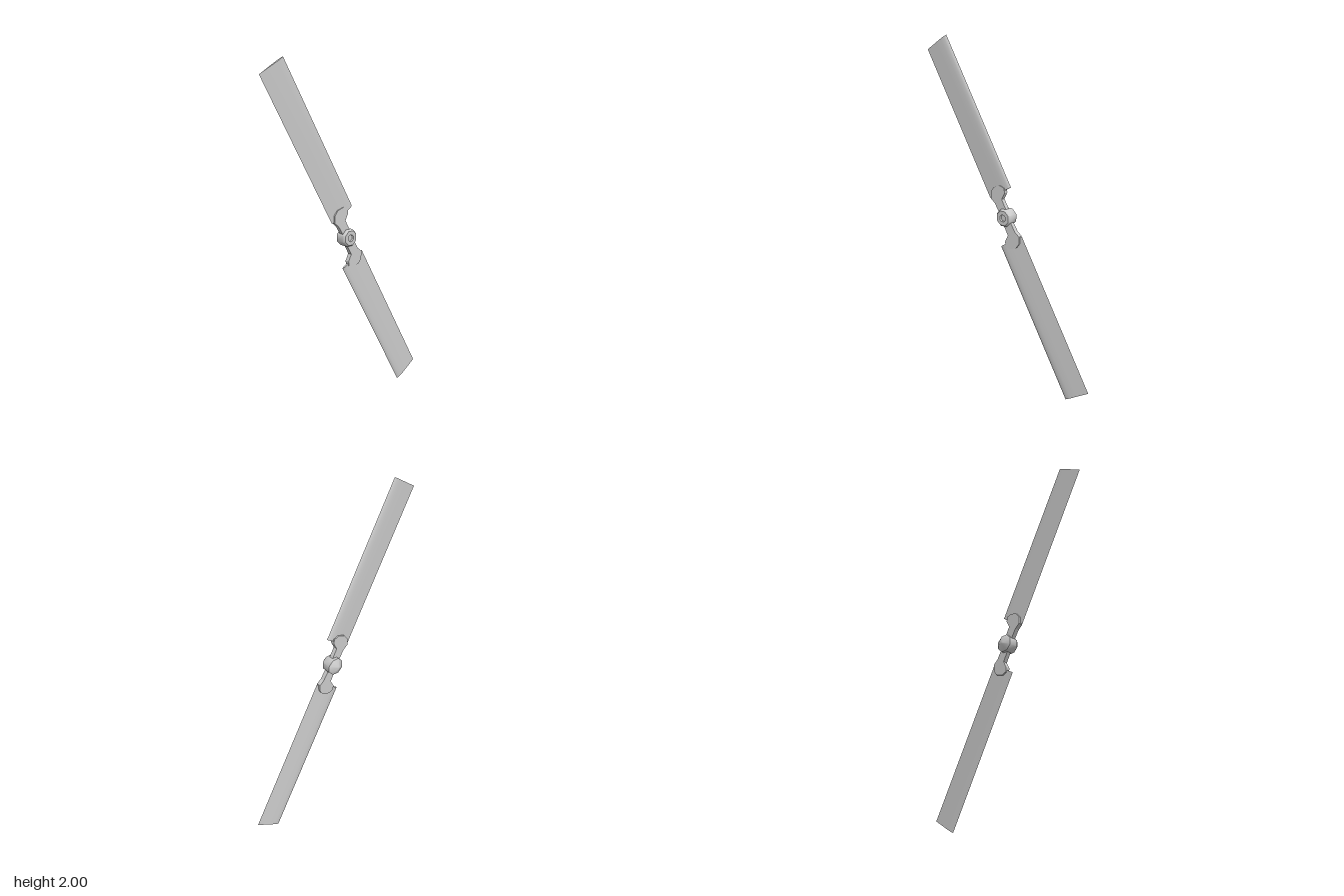
import * as THREE from 'three';
import { toCreasedNormals } from 'three/addons/utils/BufferGeometryUtils.js';

const material = new THREE.MeshStandardMaterial({ color: 0xcccccc });
const shapeFrom = (pts) => new THREE.Shape(pts.map(([x, y]) => new THREE.Vector2(x, y)));

function addMesh(parent, name, geometry) {
  const mesh = new THREE.Mesh(geometry, material);
  mesh.name = name;
  parent.add(mesh);
}

// Constant airfoil section swept along the span, blunt edge towards +x
function bladeGeometry() {
  const section = [
    [-0.052, 0], [0.03, 0.005], [0.075, 0.0075], [0.1, 0.007], [0.114, 0.004], [0.119, 0],
    [0.114, -0.004], [0.1, -0.007], [0.075, -0.0075], [0.03, -0.005],
  ];
  const g = new THREE.ExtrudeGeometry(shapeFrom(section), { depth: 0.943, bevelEnabled: false });
  g.rotateX(-Math.PI / 2).translate(0, 0.138, 0.011);
  return toCreasedNormals(g, 0.7);
}

// Flat arm that widens into a rounded clamp over the blade root
function gripGeometry() {
  const outline = [
    [-0.022, 0], [0.03, 0], [0.031, 0.1], [0.068, 0.124], [0.079, 0.15], [0.057, 0.175],
    [0.012, 0.184], [-0.019, 0.17], [-0.04, 0.134], [-0.027, 0.1],
  ];
  const g = new THREE.ExtrudeGeometry(shapeFrom(outline), { depth: 0.026, bevelEnabled: false });
  return g.translate(0, 0, -0.004);
}

// Eight-sided hub: pointed at the back, bevelled with a small recess in front
function hubGeometry() {
  const profile = [
    [0, -0.047], [0.013, -0.047], [0.052, -0.022], [0.052, 0.034],
    [0.044, 0.043], [0.021, 0.043], [0.019, 0.032], [0, 0.032],
  ].map(([r, z]) => new THREE.Vector2(r, z));
  const g = new THREE.LatheGeometry(profile, 8);
  g.rotateY(Math.PI / 8).rotateX(Math.PI / 2);
  return toCreasedNormals(g, 0.85);
}

export function createModel() {
  const model = new THREE.Group();
  model.name = 'rotor';
  const rotor = new THREE.Group();
  rotor.name = 'rotorAssembly';
  rotor.position.y = 1.0025;
  model.add(rotor);

  addMesh(rotor, 'hub', hubGeometry());

  // Two identical arms, half a turn apart
  const blade = bladeGeometry();
  const grip = gripGeometry();
  ['upper', 'lower'].forEach((side, i) => {
    const arm = new THREE.Group();
    arm.name = `${side}Arm`;
    arm.rotation.z = THREE.MathUtils.degToRad(29.6) + i * Math.PI;
    addMesh(arm, `${side}Blade`, blade);
    addMesh(arm, `${side}Grip`, grip);
    rotor.add(arm);
  });
  return model;
}
